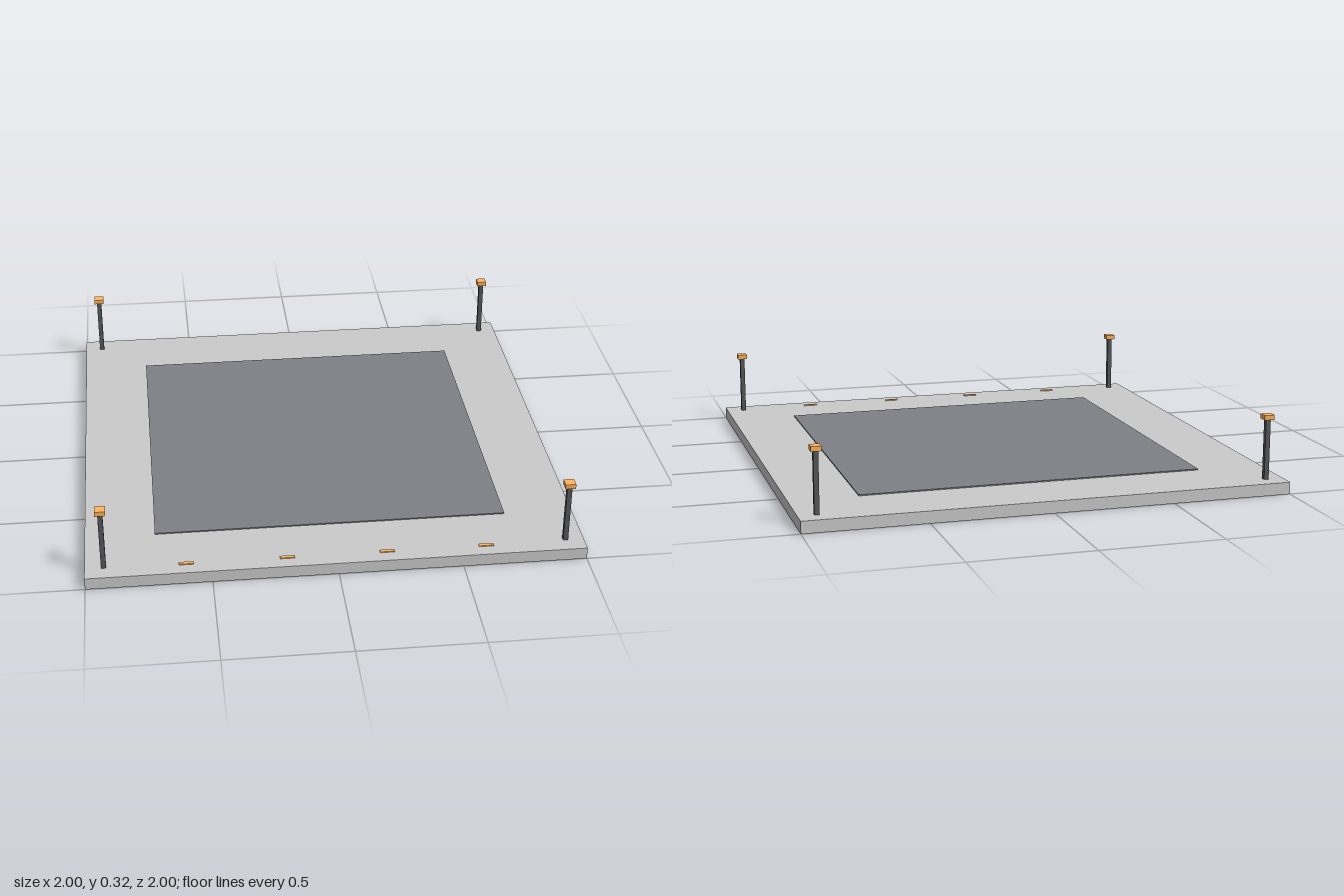
import * as THREE from 'three';

export function createModel() {
  const model = new THREE.Group();
  const grey = new THREE.MeshStandardMaterial({ color: 0xcccccc });
  const slate = new THREE.MeshStandardMaterial({ color: 0x808186 });
  const dark = new THREE.MeshStandardMaterial({ color: 0x55575a });
  const amber = new THREE.MeshStandardMaterial({ color: 0xffb45f });

  // Box resting with its underside at y
  function box(name, w, h, d, x, y, z, material, parent = model) {
    const mesh = new THREE.Mesh(new THREE.BoxGeometry(w, h, d), material);
    mesh.name = name;
    mesh.position.set(x, y + h / 2, z);
    parent.add(mesh);
  }

  const top = 0.05;
  box('slab', 2, top, 2, 0, 0, 0, grey);

  // Thin raised panel in the middle
  box('centrePanel', 1.436, 0.005, 1.436, 0, top, 0, slate);

  // Capped post at each corner
  for (const x of [-0.925, 0.925]) {
    for (const z of [-0.925, 0.925]) {
      const post = new THREE.Group();
      post.name = 'cornerPost';
      post.position.set(x, top, z);
      box('postShaft', 0.02, 0.25, 0.02, 0, 0, 0, dark, post);
      box('postCap', 0.042, 0.02, 0.042, 0, 0.25, 0, amber, post);
      model.add(post);
    }
  }

  // Row of marker strips along the front edge
  for (const x of [-0.6, -0.2, 0.2, 0.6]) {
    box('edgeMarker', 0.06, 0.004, 0.015, x, top, 0.937, amber);
  }

  return model;
}
